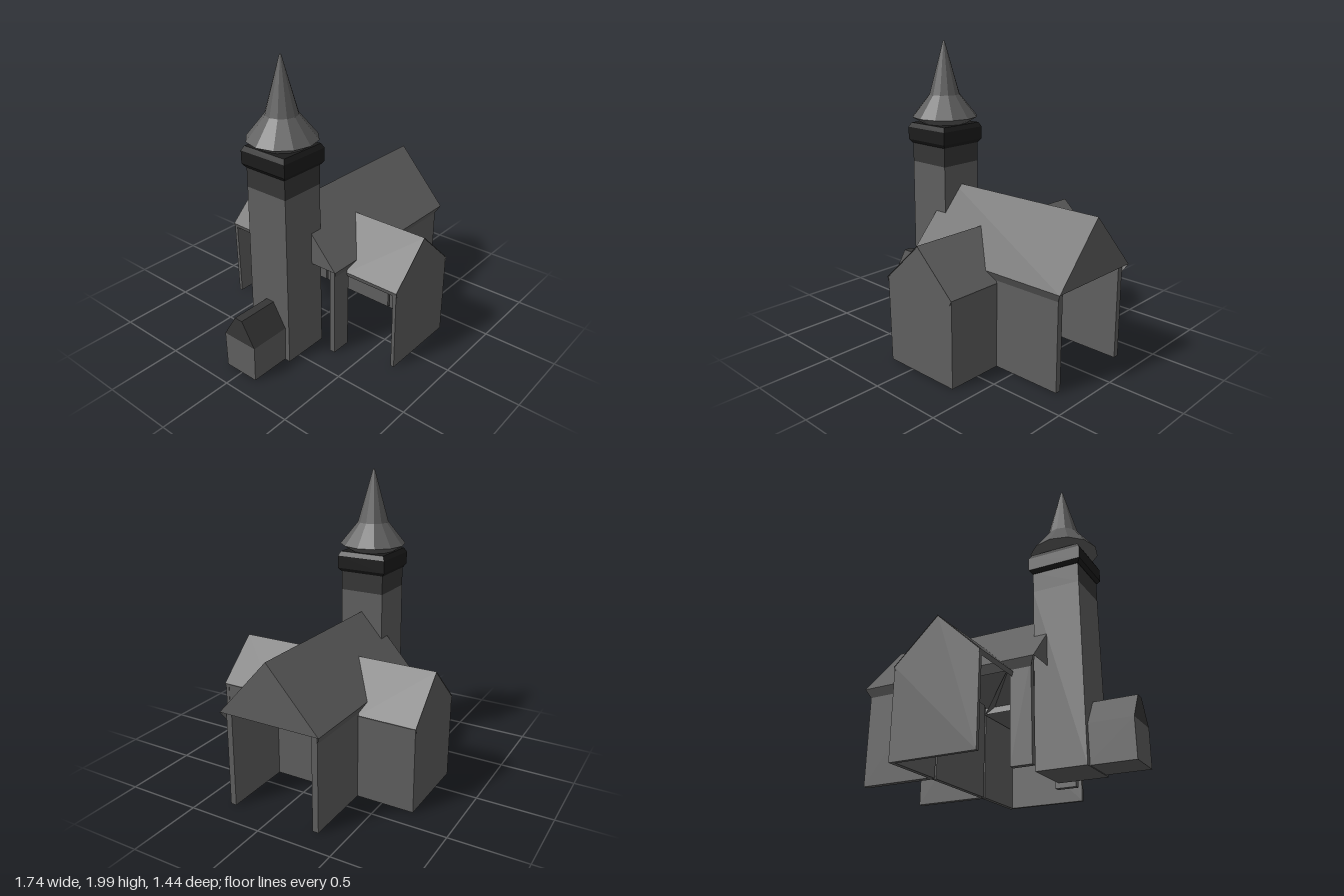
import * as THREE from 'three';

const paint = (color, side = THREE.FrontSide) => new THREE.MeshStandardMaterial({ color, flatShading: true, side });
const stone = paint(0x5f5f5f);
const thinStone = paint(0x5f5f5f, THREE.DoubleSide);
const darkStone = paint(0x363636);
const blackStone = paint(0x1c1c1c);

function add(group, name, geometry, material = stone) {
  const mesh = new THREE.Mesh(geometry, material);
  mesh.name = name;
  group.add(mesh);
  return mesh;
}

// Box given by its two opposite corners
function box(group, name, [x0, y0, z0], [x1, y1, z1]) {
  const mesh = add(group, name, new THREE.BoxGeometry(x1 - x0, y1 - y0, z1 - z0));
  mesh.position.set((x0 + x1) / 2, (y0 + y1) / 2, (z0 + z1) / 2);
}

// Thin flat panel fanned from a convex outline
function panel(group, name, corners) {
  const points = [];
  for (let i = 1; i < corners.length - 1; i++) points.push(...corners[0], ...corners[i], ...corners[i + 1]);
  const geometry = new THREE.BufferGeometry();
  geometry.setAttribute('position', new THREE.Float32BufferAttribute(points, 3));
  geometry.computeVertexNormals();
  add(group, name, geometry, thinStone);
}

// Outline in x and y, extruded along z
function extrude(outline, depth) {
  const shape = new THREE.Shape(outline.map(([x, y]) => new THREE.Vector2(x, y)));
  return new THREE.ExtrudeGeometry(shape, { depth, bevelEnabled: false });
}

// Lathe from a profile of [radius, height]
function turn(profile, sides) {
  return new THREE.LatheGeometry(profile.map(([r, y]) => new THREE.Vector2(r, y)), sides);
}

// Square lathe from a profile of [half width, height]
function squareTurn(profile) {
  return turn(profile.map(([h, y]) => [h * Math.SQRT2, y]), 4).rotateY(Math.PI / 4);
}

function createNave() {
  const nave = new THREE.Group();
  nave.name = 'nave';
  for (const s of [1, -1]) {
    const [z0, z1] = [s * 0.285, s * 0.325].sort((a, b) => a - b);
    box(nave, 'naveWall', [0.35, 0.01, z0], [0.84, 0.65, z1]);
    box(nave, 'naveWallStub', [-0.33, 0.01, z0], [-0.19, 0.65, z1]);
    panel(nave, 'naveRoofSlope', [
      [-0.36, 1.04, 0], [-0.36, 0.65, s * 0.352], [0.87, 0.65, s * 0.352], [0.87, 1.04, 0],
    ]);
    // Narrow eave turning in to the wall
    panel(nave, 'naveEave', [
      [-0.36, 0.65, s * 0.352], [0.87, 0.65, s * 0.352], [0.84, 0.595, s * 0.325], [-0.33, 0.595, s * 0.325],
    ]);
  }
  for (const x of [-0.36, 0.87]) {
    panel(nave, 'naveGable', [[x, 0.65, 0.352], [x, 0.65, -0.352], [x, 1.04, 0]]);
  }
  // Wall between the crossing and the open bay
  box(nave, 'crossWall', [0.33, 0.01, -0.285], [0.36, 0.65, 0.285]);
  return nave;
}

function createTransept(s) {
  const transept = new THREE.Group();
  transept.name = s > 0 ? 'frontTransept' : 'backTransept';
  const gable = [[-0.2, 0.01], [0.36, 0.01], [0.362, 0.58], [0.075, 0.848], [-0.21, 0.58]];
  const end = add(transept, 'transeptEndWall', extrude(gable, 0.025));
  end.position.z = s > 0 ? 0.69 : -0.717;
  const [z0, z1] = [s * 0.3, s * 0.71].sort((a, b) => a - b);
  box(transept, 'transeptSideWall', [0.33, 0.01, z0], [0.36, 0.58, z1]);
  // Slopes end along the valleys with the nave roof
  for (const x of [-0.215, 0.365]) {
    panel(transept, 'transeptRoofSlope', [
      [0.075, 0.852, s * 0.72], [x, 0.58, s * 0.72], [x, 0.58, s * 0.33], [0.075, 0.852, s * 0.165],
    ]);
    panel(transept, 'transeptEave', [
      [x, 0.58, s * 0.72], [x, 0.58, s * 0.33], [x * 0.96, 0.55, s * 0.33], [x * 0.96, 0.55, s * 0.72],
    ]);
  }
  return transept;
}

function createTower() {
  const tower = new THREE.Group();
  tower.name = 'tower';
  add(tower, 'towerShaft', squareTurn([[0, 0.01], [0.162, 0.01], [0.157, 1.18]]));
  add(tower, 'towerUpperShaft', squareTurn([[0.157, 1.18], [0.157, 1.32]]), darkStone);
  add(tower, 'towerCornice', squareTurn([
    [0, 1.31], [0.16, 1.31], [0.178, 1.335], [0.178, 1.42], [0.162, 1.45], [0, 1.45],
  ]), blackStone);
  add(tower, 'spire', turn([[0, 1.44], [0.15, 1.45], [0.225, 1.495], [0.105, 1.645], [0.006, 2], [0, 2]], 12));
  tower.position.x = -0.43;
  return tower;
}

function createAnnex() {
  const annex = new THREE.Group();
  annex.name = 'annex';
  const walls = [[-0.125, 0.015], [0.125, 0.015], [0.13, 0.26], [-0.13, 0.26]];
  const roof = [[-0.13, 0.26], [0.13, 0.26], [0.03, 0.42], [-0.03, 0.42]];
  add(annex, 'annexWalls', extrude(walls, 0.3).rotateY(Math.PI / 2));
  add(annex, 'annexRoof', extrude(roof, 0.3).rotateY(Math.PI / 2), darkStone);
  annex.position.x = -0.87;
  return annex;
}

export function createModel() {
  const church = new THREE.Group();
  church.name = 'church';
  church.add(createNave(), createTransept(1), createTransept(-1), createTower(), createAnnex());
  return church;
}
